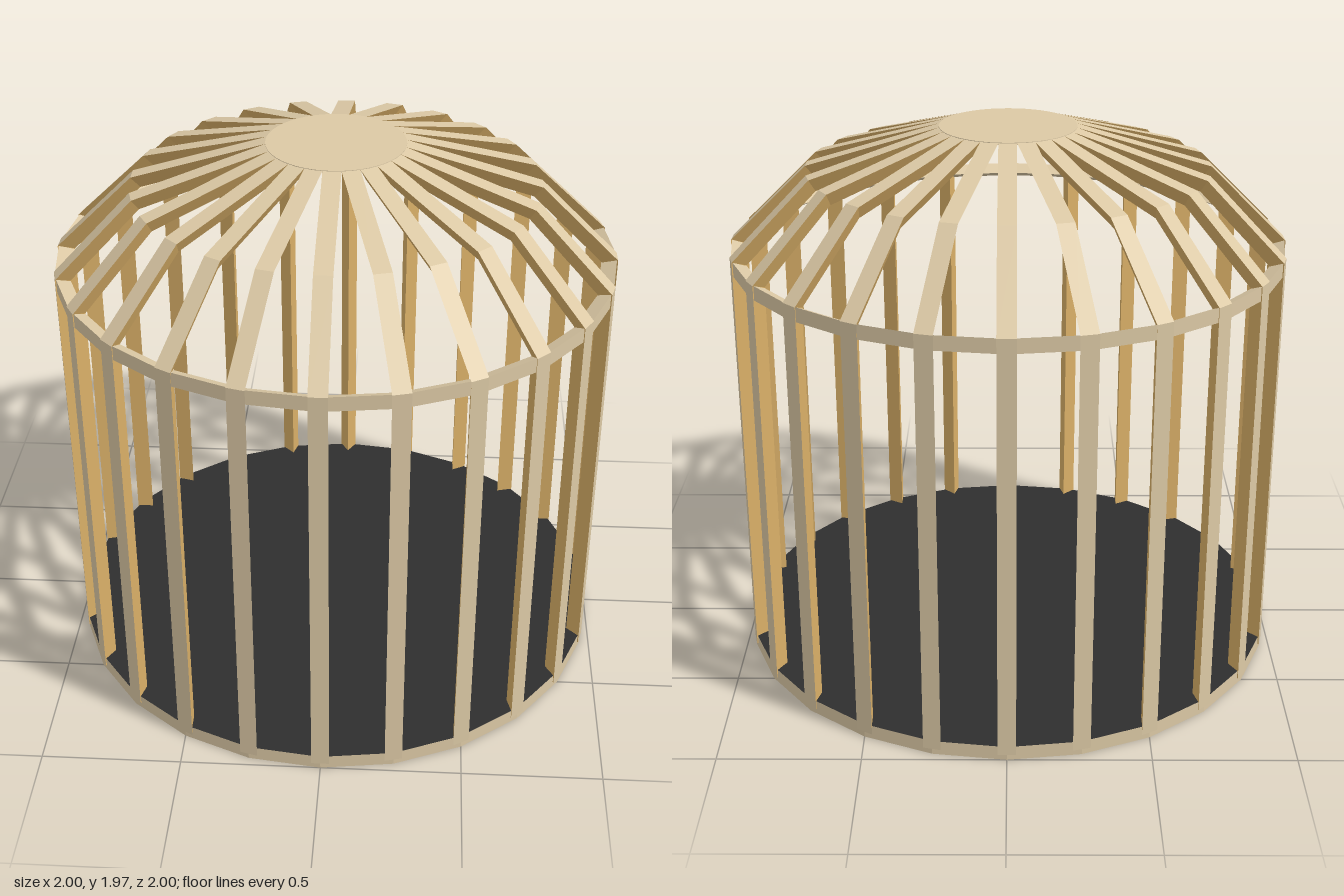
import * as THREE from 'three';

const BARS = 24;
const HALF_WIDTH = 0.032; // half of a bar's outer face
const DEPTH = 0.055;      // triangular section, point inwards

const mat = (name, color) => {
  const m = new THREE.MeshStandardMaterial({ color });
  m.name = name;
  return m;
};

// Flat-faced geometry from a list of quads or triangles
function facesGeometry(faces) {
  const pos = [];
  for (const f of faces)
    for (let i = 1; i < f.length - 1; i++) pos.push(...f[0], ...f[i], ...f[i + 1]);
  const g = new THREE.BufferGeometry();
  g.setAttribute('position', new THREE.Float32BufferAttribute(pos, 3));
  g.computeVertexNormals();
  return g;
}

// One bent bar of triangular section: upright, then two roof slopes
function barGeometries() {
  const path = [[1, 0.02], [1, 1.555], [0.72, 1.83], [0.24, 1.97]].map(p => new THREE.Vector2(...p));
  const normals = path.slice(1).map((p, i) => {
    const d = p.clone().sub(path[i]).normalize();
    return new THREE.Vector2(d.y, -d.x);
  });
  const sections = path.map((p, i) => {
    const n1 = normals[Math.max(i - 1, 0)];
    const n2 = normals[Math.min(i, normals.length - 1)];
    const miter = n1.clone().add(n2).multiplyScalar(DEPTH / (1 + n1.dot(n2)));
    const inner = p.clone().sub(miter);
    return [[p.x, p.y, -HALF_WIDTH], [p.x, p.y, HALF_WIDTH], [inner.x, inner.y, 0]];
  });
  const outer = [], inner = [];
  for (let i = 0; i < sections.length - 1; i++) {
    const [a, b, c] = sections[i];
    const [a2, b2, c2] = sections[i + 1];
    outer.push([b, a, a2, b2]);
    inner.push([c, b, b2, c2], [a, c, c2, a2]);
  }
  const [a, b, c] = sections[sections.length - 1];
  inner.push([c, b, a]);
  return [facesGeometry(outer), facesGeometry(inner)];
}

// Faceted ring turned from a profile
function ringGeometry(profile) {
  const g = new THREE.LatheGeometry(profile.map(p => new THREE.Vector2(...p)), BARS).toNonIndexed();
  g.computeVertexNormals();
  return g;
}

export function createModel() {
  const cream = mat('pale wood', 0xdcc9a5);
  const gold = mat('golden inner wood', 0xdab068);
  const black = mat('dark floor', 0x2e2e2e);

  const cage = new THREE.Group();
  cage.name = 'cage';
  const add = (parent, name, geometry, material) => {
    const mesh = new THREE.Mesh(geometry, material);
    mesh.name = name;
    parent.add(mesh);
    return mesh;
  };

  // Bars
  const [outerFace, innerFaces] = barGeometries();
  for (let i = 0; i < BARS; i++) {
    const bar = new THREE.Group();
    bar.name = 'bar' + (i + 1);
    add(bar, 'barOuterFace', outerFace, cream);
    add(bar, 'barInnerFaces', innerFaces, gold);
    bar.rotation.y = (i / BARS) * Math.PI * 2;
    cage.add(bar);
  }

  // Triangular-section hoop under the roof
  add(cage, 'upperRing', ringGeometry([[1, 1.503], [1, 1.555], [0.945, 1.529], [1, 1.503]]), cream);

  // Base: pale rim around a dark floor
  add(cage, 'baseRim', ringGeometry([[1, 0], [1, 0.052]]), cream);
  const disc = new THREE.CircleGeometry(1, BARS);
  const floor = add(cage, 'floor', disc, black);
  floor.rotation.x = -Math.PI / 2;
  floor.position.y = 0.052;
  const underside = add(cage, 'underside', disc, black);
  underside.rotation.x = Math.PI / 2;

  // Flat cap where the roof bars meet
  const cap = add(cage, 'roofCap', new THREE.CylinderGeometry(0.245, 0.245, 0.008, 48), cream);
  cap.position.y = 1.967;

  return cage;
}
